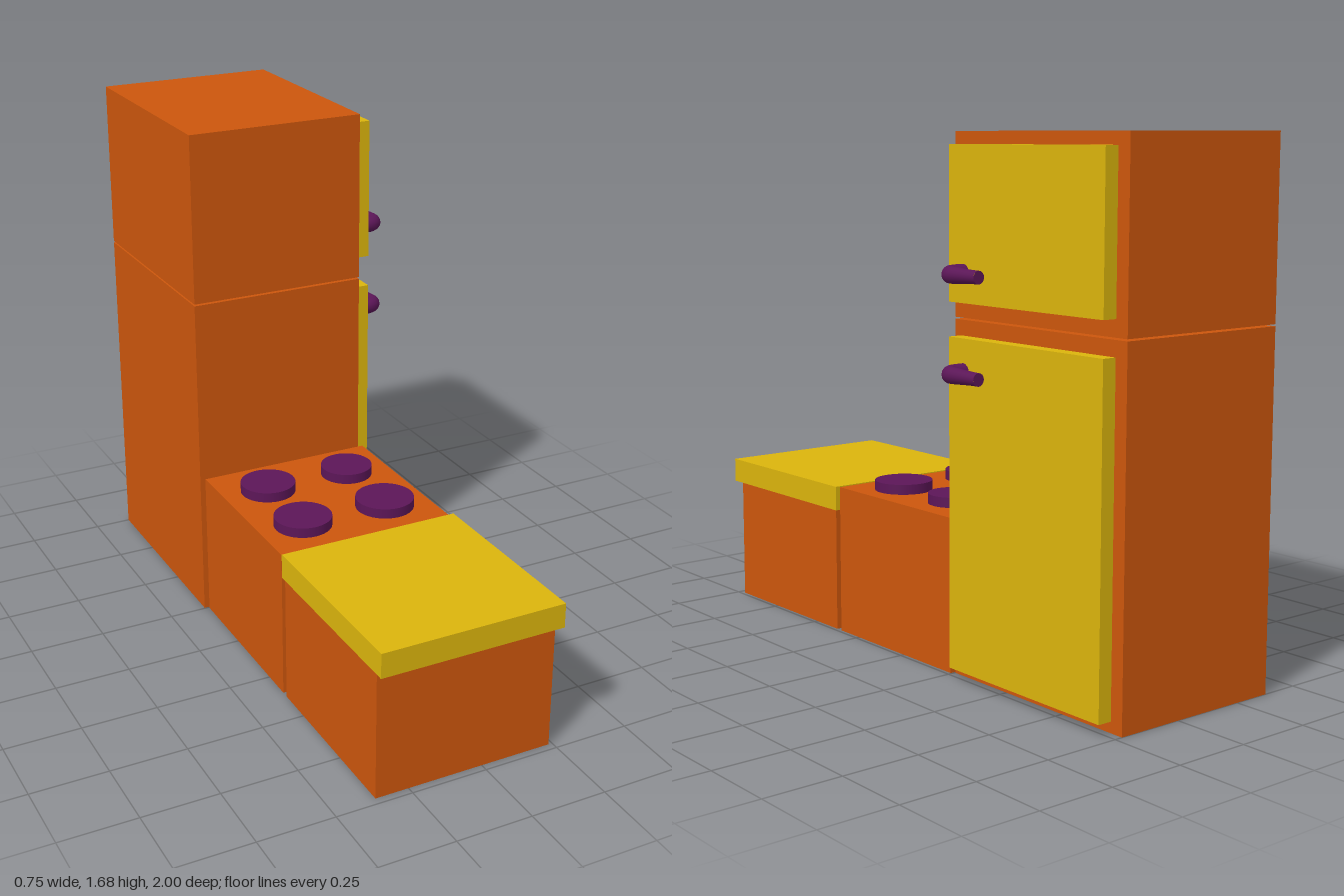
import * as THREE from 'three';

const orange = new THREE.MeshStandardMaterial({ color: 0xcc560c });
const yellow = new THREE.MeshStandardMaterial({ color: 0xdbb40c });
const purple = new THREE.MeshStandardMaterial({ color: 0x5c1658 });

// Box given by its extents on each axis
function box(name, material, [x0, x1], [y0, y1], [z0, z1]) {
  const mesh = new THREE.Mesh(new THREE.BoxGeometry(x1 - x0, y1 - y0, z1 - z0), material);
  mesh.position.set((x0 + x1) / 2, (y0 + y1) / 2, (z0 + z1) / 2);
  mesh.name = name;
  return mesh;
}

// Bent door handle: a tube that tapers towards its free end
function handle(name, y) {
  const group = new THREE.Group();
  group.name = name;
  const path = new THREE.CurvePath();
  const v = (x, z) => new THREE.Vector3(x, 0, z);
  path.add(new THREE.LineCurve3(v(0.28, -0.364), v(0.312, -0.364)));
  path.add(new THREE.QuadraticBezierCurve3(v(0.312, -0.364), v(0.347, -0.364), v(0.347, -0.4)));
  path.add(new THREE.LineCurve3(v(0.347, -0.4), v(0.348, -0.516)));

  const segments = 28, sides = 16, rStart = 0.028, rEnd = 0.02;
  const tube = new THREE.TubeGeometry(path, segments, 1, sides);
  const pos = tube.attributes.position;
  const p = new THREE.Vector3();
  for (let i = 0; i < pos.count; i++) {
    const t = Math.floor(i / (sides + 1)) / segments;
    const centre = path.getPointAt(t);
    const r = THREE.MathUtils.lerp(rStart, rEnd, THREE.MathUtils.smoothstep(t, 0.1, 1));
    p.fromBufferAttribute(pos, i).sub(centre).multiplyScalar(r).add(centre);
    pos.setXYZ(i, p.x, p.y, p.z);
  }
  const grip = new THREE.Mesh(tube, purple);
  grip.name = 'grip';

  // Flat end of the grip, facing the back
  const cap = new THREE.Mesh(new THREE.CircleGeometry(rEnd, sides), purple);
  cap.name = 'gripEnd';
  cap.rotation.y = Math.PI;
  cap.position.set(0.348, 0, -0.516);
  group.add(grip, cap);
  group.position.y = y;
  return group;
}

export function createModel() {
  const model = new THREE.Group();
  model.name = 'kitchenUnit';

  // Refrigerator with a freezer on top, doors on its left side
  const fridge = new THREE.Group();
  fridge.name = 'refrigerator';
  const fx = [-0.375, 0.224], fz = [-1, -0.253];
  const doorX = [0.236, 0.283], doorZ = [-0.967, -0.297];
  fridge.add(
    box('fridgeBody', orange, fx, [0, 1.116], fz),
    box('freezerBody', orange, fx, [1.122, 1.68], fz),
    box('fridgeDoor', yellow, doorX, [0.04, 1.07], doorZ),
    box('freezerDoor', yellow, doorX, [1.175, 1.642], doorZ),
    handle('fridgeHandle', 0.968),
    handle('freezerHandle', 1.264)
  );

  // Stove with four burners of slightly different size
  const stove = new THREE.Group();
  stove.name = 'stove';
  stove.add(box('stoveBody', orange, [-0.36, 0.237], [0, 0.497], [-0.245, 0.354]));
  const burners = [
    [-0.206, -0.075, 0.091], [0.086, -0.075, 0.086],
    [-0.21, 0.197, 0.094], [0.086, 0.197, 0.096],
  ];
  for (const [x, z, r] of burners) {
    const burner = new THREE.Mesh(new THREE.CylinderGeometry(r, r, 0.04, 40), purple);
    burner.name = 'burner';
    burner.position.set(x, 0.51, z);
    stove.add(burner);
  }

  // Low cabinet with an overhanging worktop
  const counter = new THREE.Group();
  counter.name = 'counter';
  counter.add(
    box('cabinet', orange, [-0.36, 0.237], [0, 0.419], [0.378, 0.975]),
    box('worktop', yellow, [-0.36, 0.253], [0.419, 0.5], [0.355, 1])
  );

  model.add(fridge, stove, counter);
  return model;
}
